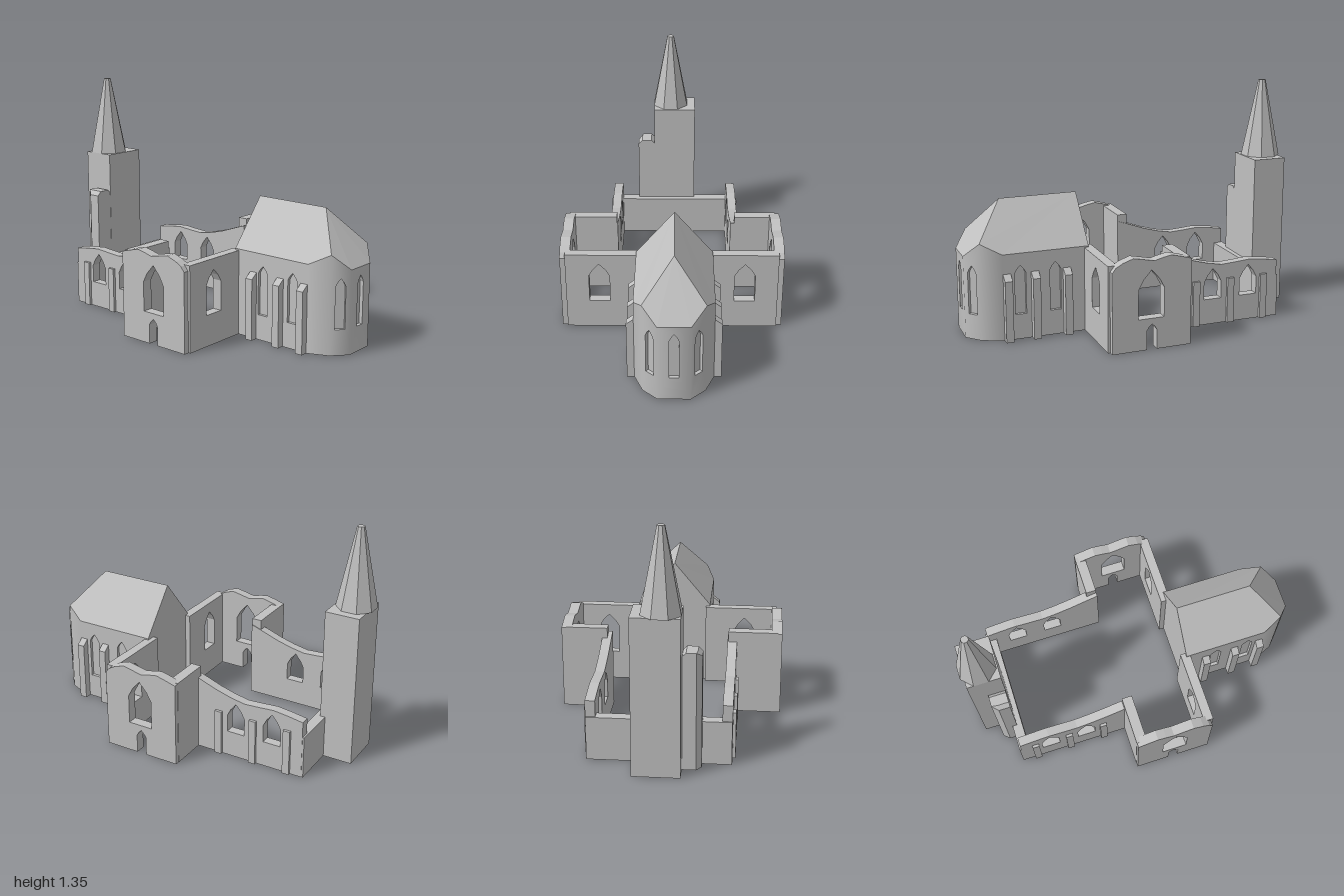
import * as THREE from 'three';

const stone = new THREE.MeshStandardMaterial({ color: 0xc0c0c0 });
stone.name = 'stone';

// Pointed opening: centre, half width, sill, spring line, apex
function opening([c, w, sill, spring, apex]) {
  const mid = spring + (apex - spring) * 0.5;
  return [[c - w, sill], [c - w, spring], [c - 0.62 * w, mid], [c, apex],
    [c + 0.62 * w, mid], [c + w, spring], [c + w, sill]].map(p => new THREE.Vector2(...p));
}

// Upright wall between two ground points, outer face on the right hand of travel.
// tops: [distance, height] along the wall.
function wall(parent, name, [x0, z0], [x1, z1], thick, tops, { windows = [], door = null, bend = null } = {}) {
  const len = Math.hypot(x1 - x0, z1 - z0);
  const pts = [new THREE.Vector2(0, 0)];
  if (door) pts.push(...opening(door));
  pts.push(new THREE.Vector2(len, 0));
  [...tops].reverse().forEach(([u, h]) => pts.push(new THREE.Vector2(u, h)));
  const shape = new THREE.Shape(pts);
  windows.forEach(w => shape.holes.push(new THREE.Path(opening(w))));
  const geo = new THREE.ExtrudeGeometry(shape, { depth: thick, bevelEnabled: false });
  geo.translate(0, 0, -thick);
  if (bend) { // rounded shading of the outer face
    const p = geo.attributes.position, n = geo.attributes.normal;
    for (let i = 0; i < p.count; i++) {
      if (n.getZ(i) < 0.9) continue;
      const a = THREE.MathUtils.lerp(bend[0], bend[1], p.getX(i) / len);
      n.setXYZ(i, Math.sin(a), 0, Math.cos(a));
    }
  }
  const m = add(parent, name, geo);
  m.position.set(x0, 0, z0);
  m.rotation.y = -Math.atan2(z1 - z0, x1 - x0);
  return m;
}

function add(parent, name, geo) {
  const m = new THREE.Mesh(geo, stone);
  m.name = name;
  parent.add(m);
  return m;
}

function box(parent, name, x0, x1, y0, y1, z0, z1) {
  const geo = new THREE.BoxGeometry(x1 - x0, y1 - y0, z1 - z0);
  geo.translate((x0 + x1) / 2, (y0 + y1) / 2, (z0 + z1) / 2);
  return add(parent, name, geo);
}

// Vertical prism from an [x, z] footprint
function prism(points, y0, y1) {
  const shape = new THREE.Shape(points.map(([x, z]) => new THREE.Vector2(x, -z)));
  const geo = new THREE.ExtrudeGeometry(shape, { depth: y1 - y0, bevelEnabled: false });
  return geo.rotateX(-Math.PI / 2).translate(0, y0, 0);
}

// Flat polygons, each fanned into triangles
function polygons(faces) {
  const pos = [];
  faces.forEach(f => {
    for (let i = 1; i < f.length - 1; i++) pos.push(...f[0], ...f[i], ...f[i + 1]);
  });
  const geo = new THREE.BufferGeometry();
  geo.setAttribute('position', new THREE.Float32BufferAttribute(pos, 3));
  geo.computeVertexNormals();
  return geo;
}

function buildTower(parent) {
  const g = new THREE.Group();
  g.name = 'tower';
  box(g, 'towerShaft', -0.98, -0.78, 0, 0.89, -0.141, 0.12);
  const k = 1 / Math.cos(Math.PI / 8);
  const spire = add(g, 'spire',
    new THREE.CylinderGeometry(0.02 * k, 0.106 * k, 0.46, 8, 1, false, Math.PI / 8).toNonIndexed());
  spire.geometry.computeVertexNormals();
  spire.position.set(-0.895, 1.12, 0.015);

  // Stair turret with a chamfered corner and a bevelled cap
  const plan = [[-0.885, 0.115], [-0.885, 0.195], [-0.85, 0.224], [-0.782, 0.224], [-0.782, 0.115]];
  add(g, 'stairTurret', prism(plan, 0, 0.645));
  const cap = prism(plan, 0.645, 0.67), p = cap.attributes.position;
  for (let i = 0; i < p.count; i++) {
    if (p.getY(i) > 0.66) p.setZ(i, THREE.MathUtils.clamp(p.getZ(i), 0.14, 0.2));
  }
  cap.computeVertexNormals();
  add(g, 'stairTurretCap', cap);
  parent.add(g);
}

function buildNave(parent) {
  const g = new THREE.Group();
  g.name = 'nave';
  const x0 = -0.8, x1 = -0.08;
  const tops = [[0, 0.343], [0.09, 0.357], [0.18, 0.367], [0.27, 0.36], [0.36, 0.355], [0.45, 0.372],
    [0.54, 0.397], [0.66, 0.44], [0.72, 0.46]];
  const windows = [-0.614, -0.387].map(x => [x - x0, 0.054, 0.152, 0.255, 0.335]);
  // Outer faces of the front and rear walls
  [[0.385, 0.385, 1], [-0.406, -0.351, -1]].forEach(([outer, z, s]) => {
    wall(g, 'naveWall', [x0, z], [x1, z], 0.055, tops, { windows });
    [-0.71, -0.497, -0.28].forEach(x => {
      const zs = [outer - s * 0.01, outer + s * 0.016].sort((a, b) => a - b);
      box(g, 'naveButtress', x - 0.021, x + 0.021, 0, 0.27, ...zs);
    });
  });
  box(g, 'westWall', -0.81, -0.75, 0, 0.25, -0.404, 0.383);
  parent.add(g);
}

function buildTransept(parent) {
  const g = new THREE.Group();
  g.name = 'transept';
  const x0 = -0.14;
  const tops = [[0, 0.495], [0.06, 0.512], [0.12, 0.527], [0.17, 0.518], [0.22, 0.505], [0.28, 0.518],
    [0.34, 0.53], [0.4, 0.51], [0.44, 0.488], [0.462, 0.46]];
  const gable = { windows: [[0.095 - x0, 0.075, 0.18, 0.35, 0.455]], door: [0.091 - x0, 0.03, 0, 0.11, 0.148] };
  [0.646, -0.586].forEach(z => wall(g, 'transeptGable', [x0, z], [0.322, z], 0.06, tops, gable));
  const flat = [[0, 0.492], [0.435, 0.492]];
  // East walls with a window each, west walls plain
  wall(g, 'transeptEastWall', [0.335, 0.615], [0.335, 0.18], 0.056, flat,
    { windows: [[0.195, 0.06, 0.18, 0.352, 0.43]] });
  wall(g, 'transeptEastWall', [0.335, -0.18], [0.335, -0.615], 0.056, flat,
    { windows: [[0.242, 0.06, 0.18, 0.352, 0.43]] });
  box(g, 'transeptWestWall', x0 - 0.002, -0.08, 0, 0.5, 0.335, 0.62);
  box(g, 'transeptWestWall', x0 - 0.002, -0.08, 0, 0.5, -0.62, -0.375);
  parent.add(g);
}

function buildChancel(parent) {
  const g = new THREE.Group();
  g.name = 'chancel';
  g.position.z = -0.015;
  // Half plan as [x, z, eave height], then mirrored
  const half = [[0.31, 0.22, 0.5], [0.81, 0.22, 0.5], [0.925, 0.172, 0.56], [1, 0.09, 0.476]];
  const plan = [...half, ...[...half].reverse().map(([x, z, h]) => [x, -z, h])];
  const facing = i => Math.atan2(plan[i][1] - plan[i + 1][1], plan[i + 1][0] - plan[i][0]);
  const last = plan.length - 2;
  // Shading direction at each corner
  const corner = plan.map((_, i) => i <= 1 ? 0 : i >= last ? Math.PI : (facing(i - 1) + facing(i)) / 2);

  const lancet = (u, w) => [u, w, 0.146, 0.385, 0.43];
  const lancets = { 0: [lancet(0.197, 0.032), lancet(0.4, 0.032)], 2: [lancet(0.055, 0.028)],
    3: [lancet(0.09, 0.027)], 4: [lancet(0.056, 0.028)], 6: [lancet(0.303, 0.032), lancet(0.1, 0.032)] };
  for (let i = 0; i <= last; i++) {
    const [ax, az, ah] = plan[i], [bx, bz, bh] = plan[i + 1];
    const f = facing(i) < -1 ? facing(i) + 2 * Math.PI : facing(i);
    wall(g, 'chancelWall', [ax, az], [bx, bz], 0.02, [[0, ah], [Math.hypot(bx - ax, bz - az), bh]],
      { windows: lancets[i] || [], bend: [corner[i] - f, corner[i + 1] - f] });
  }

  // Blind backs of the windows
  const core = half.map(([x, z]) => [x === 0.31 ? x + 0.005 : x - (x > 0.9 ? 0.017 : 0.005), z - 0.018]);
  core[3] = [0.98, 0.082];
  add(g, 'chancelCore', prism([...core, ...[...core].reverse().map(([x, z]) => [x, -z])], 0, 0.465));

  // Hipped roof and the closed west end
  const eave = s => half.map(([x, z, h]) => [x, h, s * z]);
  const L = eave(1), R = eave(-1), ridgeA = [0.31, 0.765, 0], ridgeB = [0.765, 0.765, 0];
  add(g, 'chancelRoof', polygons([
    [ridgeA, L[0], L[1], L[2], ridgeB],
    [ridgeA, ridgeB, R[2], R[1], R[0]],
    [ridgeB, L[2], L[3], R[3], R[2]],
  ]));
  add(g, 'chancelWestEnd', polygons([
    [[0.31, 0, -0.22], [0.31, 0, 0.22], L[0], ridgeA, R[0]],
  ]));

  // Buttresses with sloping tops
  [1, -1].forEach(s => [0.44, 0.626, 0.786].forEach(x => {
    const profile = [[0.2, 0], [0.261, 0], [0.261, 0.355], [0.22, 0.387], [0.2, 0.387]];
    const shape = new THREE.Shape(profile.map(([z, y]) => new THREE.Vector2(-s * z, y)));
    const geo = new THREE.ExtrudeGeometry(shape, { depth: 0.044, bevelEnabled: false });
    geo.rotateY(Math.PI / 2).translate(x - 0.022, 0, 0);
    add(g, 'chancelButtress', geo);
  }));
  parent.add(g);
}

export function createModel() {
  const model = new THREE.Group();
  model.name = 'ruinedChurch';
  buildTower(model);
  buildNave(model);
  buildTransept(model);
  buildChancel(model);
  return model;
}
